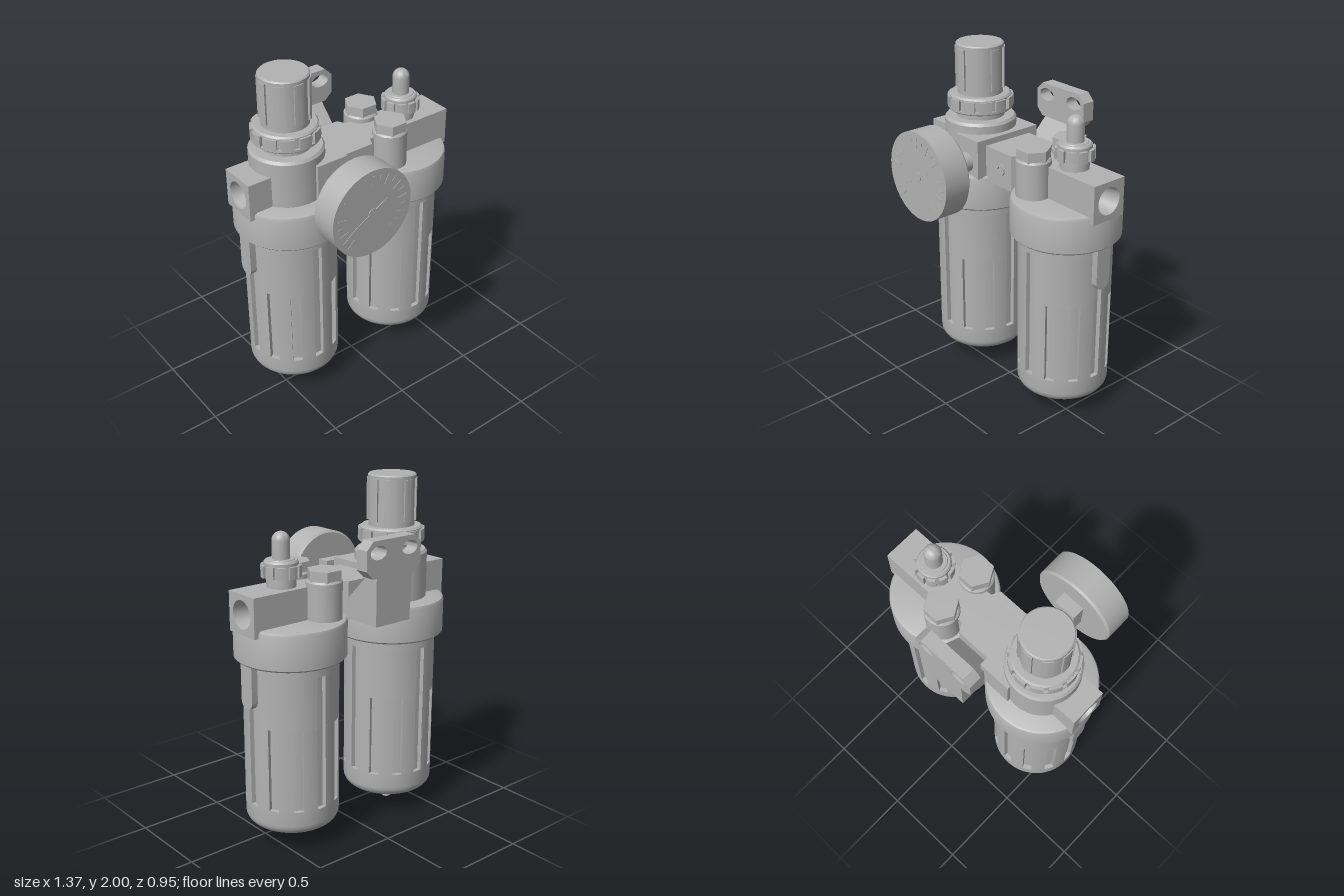
import * as THREE from 'three';
import { toCreasedNormals } from 'three/addons/utils/BufferGeometryUtils.js';

const V = (x, y) => new THREE.Vector2(x, y);
const CZ = -0.09; // depth of the main axis

export function createModel() {
  const model = new THREE.Group();
  const grey = new THREE.MeshStandardMaterial({ color: 0xb2b2b2 });
  grey.name = 'castGrey';

  function add(name, geo, x = 0, y = 0, z = 0, parent = model) {
    const m = new THREE.Mesh(geo, grey);
    m.name = name;
    m.position.set(x, y, z);
    parent.add(m);
    return m;
  }
  const lathe = (pts, seg = 56) =>
    toCreasedNormals(new THREE.LatheGeometry(pts.map(p => V(p[0], p[1])), seg), 0.6);
  // box given by its limits
  const box = (name, x0, x1, y0, y1, z0, z1) =>
    add(name, new THREE.BoxGeometry(x1 - x0, y1 - y0, z1 - z0), (x0 + x1) / 2, (y0 + y1) / 2, (z0 + z1) / 2);
  const extrude = (shape, depth) => toCreasedNormals(
    new THREE.ExtrudeGeometry(shape, { depth, bevelEnabled: false, curveSegments: 24 }), 0.5);

  // upright round prism with evenly spaced notches
  function notched(rOut, rIn, count, half, y0, y1, phase = 0) {
    const pts = [], step = Math.PI * 2 / count;
    const arc = (r, a, b, n) => {
      for (let i = 0; i <= n; i++) {
        const t = a + (b - a) * i / n;
        pts.push(V(r * Math.cos(t), r * Math.sin(t)));
      }
    };
    for (let k = 0; k < count; k++) {
      const a = phase + k * step;
      arc(rIn, a - half, a + half, 3);
      arc(rOut, a + half, a + step - half, Math.ceil(step * 10));
    }
    return extrude(new THREE.Shape(pts), y1 - y0).rotateX(-Math.PI / 2).translate(0, y0, 0);
  }

  // bowls with collars and outer sight tabs
  for (const s of [-1, 1]) {
    const bowl = new THREE.Group();
    bowl.name = s < 0 ? 'filterBowl' : 'lubricatorBowl';
    bowl.position.set(s * 0.367, 0, CZ);
    model.add(bowl);
    const R = 0.265, bottom = [[0, 0.11]];
    for (let i = 0; i <= 6; i++) {
      const a = i / 6 * Math.PI / 2;
      bottom.push([R - 0.07 + 0.07 * Math.sin(a), 0.175 - 0.065 * Math.cos(a)]);
    }
    bottom.push([R, 0.26], [0, 0.26]);
    add('bowlBottom', lathe(bottom), 0, 0, 0, bowl);
    add('bowlSlots', notched(R, R - 0.025, 12, 0.107, 0.26, 0.74), 0, 0, 0, bowl);
    add('bowlTallSlots', notched(R, R - 0.025, 4, 0.107, 0.74, 1.03), 0, 0, 0, bowl);
    add('bowlTop', lathe([[0, 1.03], [R, 1.03], [R, 1.1]]), 0, 0, 0, bowl);
    add('collar', lathe([[0, 1.085], [0.3, 1.085], [0.31, 1.095], [0.31, 1.28],
      [0.304, 1.295], [0.29, 1.3], [0, 1.3]], 72), 0, 0, 0, bowl);
    const tab = new THREE.Shape();
    tab.moveTo(0.048, 1.1);
    tab.lineTo(-0.048, 1.1);
    tab.lineTo(-0.048, 0.888);
    tab.absarc(0, 0.888, 0.048, Math.PI, Math.PI * 2, false);
    const t = add('sideTab', extrude(tab, 0.08), s * 0.22, 0, 0, bowl);
    t.rotation.y = s * Math.PI / 2;
    t.scale.z = 0.078 / 0.08;
  }

  // ribbed drain nipple
  const drain = [[0, 0], [0.02, 0]];
  for (let i = 0; i < 6; i++) {
    const y = 0.005 + i * 0.018;
    drain.push([0.028, y], [0.028, y + 0.011], [0.022, y + 0.014]);
  }
  drain.push([0.022, 0.12]);
  add('drainNipple', lathe(drain, 20), -0.367, 0, CZ);

  // crossbar, valve body and centre coupling
  box('crossbar', -0.54, 0.54, 1.26, 1.48, -0.2, 0.02);
  box('bodyBlock', -0.32, -0.125, 1.29, 1.515, -0.31, 0.13);
  add('valveBody', lathe([[0, 1.28], [0.207, 1.28], [0.207, 1.56], [0.195, 1.575], [0, 1.575]]), -0.367, 0, CZ);
  const mid = new THREE.Shape([V(-0.13, -0.07), V(0.09, -0.07), V(0.115, -0.02),
    V(0.115, 0.2), V(0.09, 0.25), V(-0.13, 0.25)]);
  add('coupling', extrude(mid, 0.21).rotateX(-Math.PI / 2), 0, 1.27, 0);

  // socket screw on the coupling
  const ring = new THREE.Shape().absarc(0, 0, 0.036, 0, Math.PI * 2);
  const hex = [];
  for (let i = 0; i < 6; i++) hex.push(V(0.018 * Math.cos(i * Math.PI / 3), 0.018 * Math.sin(i * Math.PI / 3)));
  ring.holes.push(new THREE.Path(hex));
  add('socketScrew', extrude(ring, 0.01), 0, 1.375, 0.068);

  // threaded end ports, bored inward
  for (const s of [-1, 1]) {
    const face = new THREE.Shape([V(-0.11, -0.11), V(0.11, -0.11), V(0.11, 0.11), V(-0.11, 0.11)]);
    face.holes.push(new THREE.Path().absarc(0, 0, 0.078, 0, Math.PI * 2, true));
    const port = new THREE.Group();
    port.name = s < 0 ? 'inletPort' : 'outletPort';
    port.position.set(s * 0.53, 1.37, CZ);
    port.rotation.y = s * Math.PI / 2;
    model.add(port);
    add('portBlock', extrude(face, 0.153), 0, 0, 0, port);
    add('portBore', lathe([[0.078, 0.153], [0.06, 0.03], [0, 0.015]], 32).rotateX(Math.PI / 2), 0, 0, 0, port);
  }

  // pressure regulator: neck, toothed lock ring, ribbed knob
  const knob = new THREE.Group();
  knob.name = 'regulatorKnob';
  knob.position.set(-0.367, 0, CZ);
  model.add(knob);
  add('neck', lathe([[0.14, 1.56], [0.14, 1.63]]), 0, 0, 0, knob);
  add('lockRing', notched(0.19, 0.172, 12, 0.07, 1.63, 1.695, Math.PI / 12), 0, 0, 0, knob);
  add('lockRingBase', lathe([[0, 1.615], [0.178, 1.615], [0.186, 1.622], [0.186, 1.635], [0, 1.635]]), 0, 0, 0, knob);
  add('lockRingTop', lathe([[0.178, 1.69], [0.178, 1.7], [0.168, 1.71], [0, 1.71]]), 0, 0, 0, knob);
  add('knobCore', lathe([[0.131, 1.7], [0.131, 1.975], [0.137, 1.975], [0.137, 1.993], [0.13, 2], [0, 2]]), 0, 0, 0, knob);
  add('knobRibs', notched(0.142, 0.13, 8, Math.PI / 8 - 0.21, 1.74, 1.975, Math.PI / 8), 0, 0, 0, knob);

  // pressure gauge with stem, dial ticks and needle
  const gauge = new THREE.Group();
  gauge.name = 'pressureGauge';
  gauge.position.set(-0.225, 1.37, 0);
  model.add(gauge);
  add('gaugeStem', new THREE.CylinderGeometry(0.057, 0.057, 0.14, 32).rotateX(Math.PI / 2), 0, 0, 0.18, gauge);
  add('gaugeNut', new THREE.BoxGeometry(0.137, 0.19, 0.08), 0, 0, 0.27, gauge);
  add('gaugeCase', lathe([[0, 0.305], [0.243, 0.305], [0.255, 0.317], [0.255, 0.472], [0, 0.472]], 72)
    .rotateX(Math.PI / 2), 0, 0, 0, gauge);
  for (let i = 0; i <= 20; i++) {
    const a = -Math.PI / 4 + i / 20 * Math.PI * 1.5, len = i % 2 ? 0.035 : 0.06;
    const r = 0.225 - len / 2;
    add('dialTick', new THREE.BoxGeometry(len, 0.005, 0.004), r * Math.cos(a), r * Math.sin(a), 0.4725, gauge)
      .rotation.z = a;
  }
  const needle = new THREE.Shape([V(-0.185, 0), V(-0.12, -0.009), V(0.115, -0.006), V(0.115, 0.006), V(-0.12, 0.009)]);
  add('needle', extrude(needle, 0.003), 0, 0, 0.472, gauge).rotation.z = 0.52;
  add('needleHub', new THREE.CylinderGeometry(0.027, 0.027, 0.005, 24).rotateX(Math.PI / 2), 0, 0, 0.4735, gauge);

  // mounting bracket: chamfered plate with slots on a sloped foot
  const c = 0.045;
  const plate = new THREE.Shape([V(-0.22 + c, 1.54), V(0.165 - c, 1.54), V(0.165, 1.54 + c), V(0.165, 1.74 - c),
    V(0.165 - c, 1.74), V(-0.22 + c, 1.74), V(-0.22, 1.74 - c), V(-0.22, 1.54 + c)]);
  for (const x of [-0.138, 0.083])
    plate.holes.push(new THREE.Path().absellipse(x, 1.675, 0.056, 0.037, 0, Math.PI * 2, true));
  add('bracketPlate', extrude(plate, 0.077), 0, 0, -0.477);
  const foot = new THREE.Shape([V(0.477, 1.275), V(0.477, 1.56), V(0.4, 1.56), V(0.4, 1.54), V(0.23, 1.37), V(0.23, 1.275)]);
  add('bracketFoot', extrude(foot, 0.245).rotateY(Math.PI / 2), -0.15, 0, 0);

  // plug bolts
  for (const z of [-0.225, 0.04]) {
    add('boltBoss', lathe([[0.098, 1.28], [0.098, 1.505], [0.09, 1.515], [0, 1.515]], 36), 0.24, 0, z);
    const head = new THREE.CylinderGeometry(0.096, 0.096, 0.06, 6).toNonIndexed();
    head.computeVertexNormals();
    add('boltHead', head.rotateY(Math.PI / 6), 0.24, 1.54, z);
  }

  // drip adjuster with toothed ring and domed pin
  const drip = new THREE.Group();
  drip.name = 'dripAdjuster';
  drip.position.set(0.422, 0, CZ);
  model.add(drip);
  add('dripNeck', lathe([[0.08, 1.47], [0.08, 1.615], [0.07, 1.63], [0, 1.63]], 36), 0, 0, 0, drip);
  add('dripTeeth', notched(0.11, 0.093, 10, 0.09, 1.535, 1.6), 0, 0, 0, drip);
  add('dripTop', lathe([[0.093, 1.59], [0.093, 1.615], [0.085, 1.625], [0, 1.625]], 36), 0, 0, 0, drip);
  const pin = [[0.048, 1.62]];
  for (let i = 0; i <= 8; i++) {
    const a = i / 8 * Math.PI / 2;
    pin.push([0.048 * Math.cos(a), 1.727 + 0.048 * Math.sin(a)]);
  }
  add('dripPin', lathe(pin, 28), 0, 0, 0, drip);

  return model;
}
